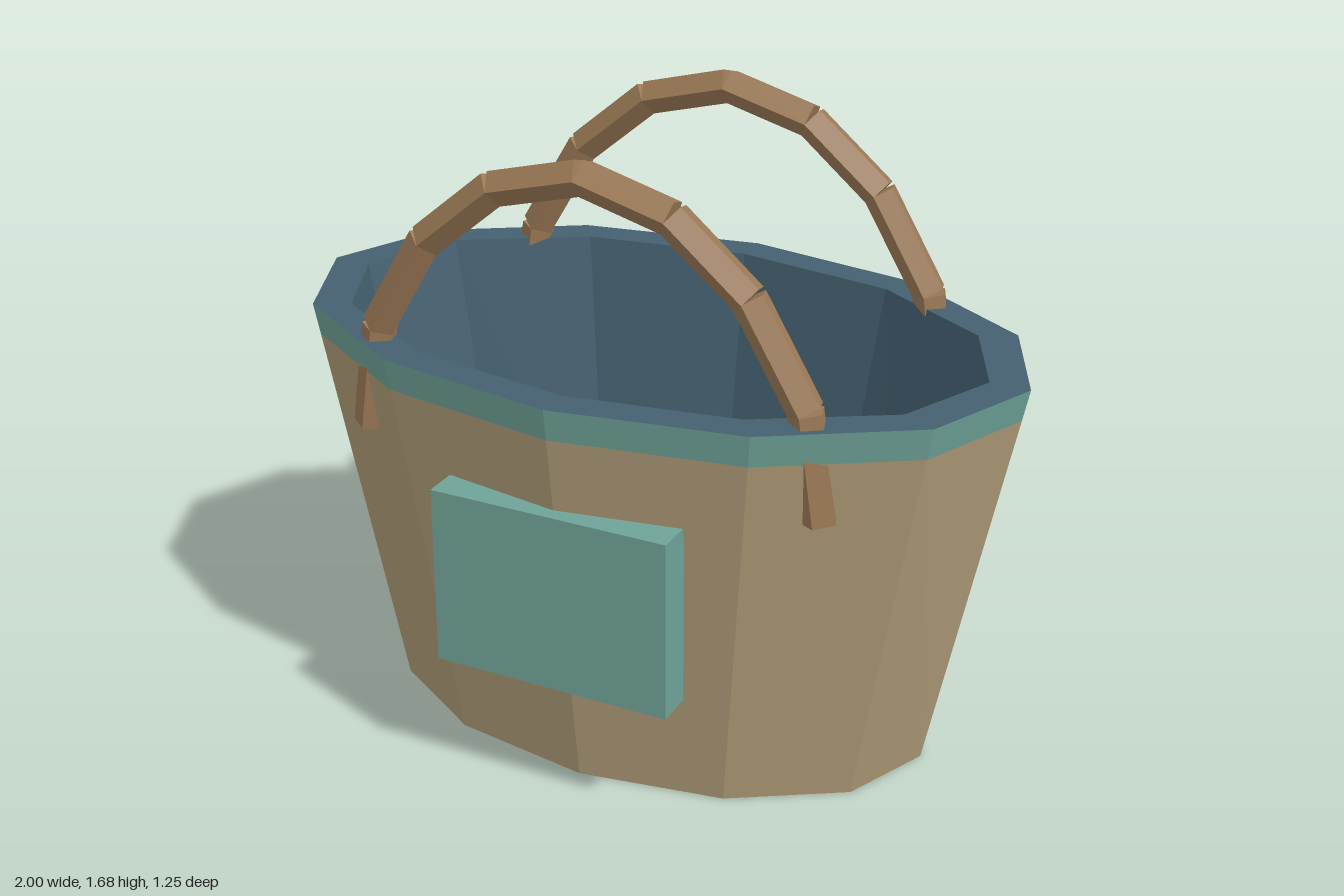
import * as THREE from 'three';

const material = (name, color) => {
  const m = new THREE.MeshStandardMaterial({ color, flatShading: true });
  m.name = name;
  return m;
};

// Twelve-sided oval shell through rings of [x radius, z radius, y]
function ovalShell(rings) {
  const geo = new THREE.LatheGeometry(rings.map(([rx, , y]) => new THREE.Vector2(rx, y)), 12);
  const pos = geo.attributes.position;
  for (let i = 0; i < pos.count; i++) {
    const [rx, rz] = rings[i % rings.length];
    if (rx > 0) pos.setZ(i, pos.getZ(i) * rz / rx);
  }
  geo.computeVertexNormals();
  return geo;
}

// Five-sided bar between two points, one edge facing forward
function bar(a, b, radius, mat) {
  const dir = b.clone().sub(a);
  const mesh = new THREE.Mesh(new THREE.CylinderGeometry(radius, radius, dir.length(), 5), mat);
  mesh.position.copy(a).add(b).multiplyScalar(0.5);
  mesh.quaternion.setFromUnitVectors(new THREE.Vector3(0, 1, 0), dir.normalize());
  return mesh;
}

export function createModel() {
  const straw = material('straw', 0xb09c78);
  const teal = material('teal', 0x6fa398);
  const lining = material('lining', 0x456070);
  const leather = material('leather', 0x9c7a56);

  const model = new THREE.Group();
  model.name = 'basketBag';
  const add = (name, geo, mat) => {
    const mesh = new THREE.Mesh(geo, mat);
    mesh.name = name;
    model.add(mesh);
    return mesh;
  };

  // Tapered bag with closed bottom, coloured band and inner lining
  add('body', ovalShell([[0, 0, 0], [0.775, 0.475, 0], [0.983, 0.61, 1.03]]), straw);
  add('rimBand', ovalShell([[0.983, 0.61, 1.03], [1, 0.622, 1.115]]), teal);
  add('innerLining', ovalShell([
    [1, 0.622, 1.115], [0.895, 0.53, 1.115], [0.68, 0.385, 0.06], [0, 0, 0.06],
  ]), lining);

  // Front pocket
  add('frontPocket', new THREE.BoxGeometry(0.65, 0.485, 0.1), teal).position.set(0, 0.5875, 0.573);

  // Two arched handles whose ends pass through the bag wall
  const half = [[0.63, 0.865], [0.588, 1.145], [0.437, 1.4], [0.237, 1.568]];
  const path = [...half.map(([x, y]) => [-x, y]), [0, 1.632], ...half.slice().reverse()]
    .map(([x, y]) => new THREE.Vector3(x, y, 0));
  for (const [name, z] of [['frontHandle', 0.413], ['backHandle', -0.415]]) {
    const handle = new THREE.Group();
    handle.name = name;
    handle.position.z = z;
    for (let i = 0; i < path.length - 1; i++) {
      const segment = bar(path[i], path[i + 1], 0.0475, leather);
      segment.name = 'handleSegment';
      handle.add(segment);
    }
    model.add(handle);
  }
  return model;
}
